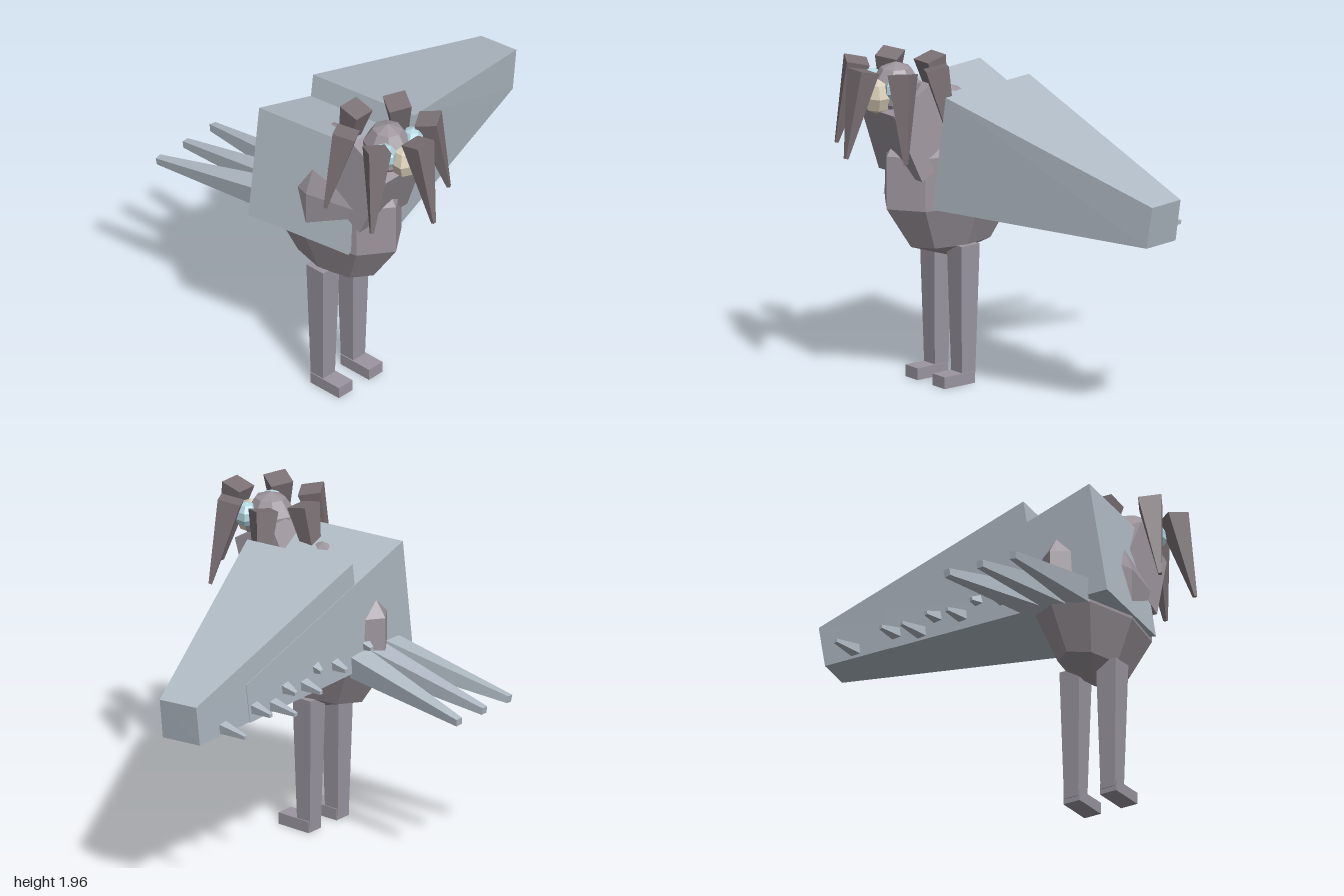
import * as THREE from 'three';

const CZ = 0.66; // z of the body's middle plane

const mat = (color, side = THREE.FrontSide) =>
  new THREE.MeshStandardMaterial({ color, flatShading: true, side });

const bodyMat = mat(0x9c959c);
const legMat = mat(0x9a95a0);
const wingMat = mat(0xb0bac4);
const plumeMat = mat(0x7c7276);
const eyeMat = mat(0xb4d8e2);
const beakMat = mat(0xd8cdb8);

// Four-sided tapered bar between two points, with square ends
function bar(name, from, to, w0, w1, material) {
  const a = new THREE.Vector3(...from), b = new THREE.Vector3(...to);
  const dir = b.clone().sub(a);
  const geo = new THREE.CylinderGeometry(w1 * Math.SQRT1_2, w0 * Math.SQRT1_2, dir.length(), 4);
  geo.rotateY(Math.PI / 4);
  const mesh = new THREE.Mesh(geo, material);
  mesh.name = name;
  mesh.position.copy(a).add(b).multiplyScalar(0.5);
  mesh.quaternion.setFromUnitVectors(new THREE.Vector3(0, 1, 0), dir.normalize());
  return mesh;
}

// Low-poly ellipsoid
function blob(name, pos, radii, w, h, material) {
  const mesh = new THREE.Mesh(new THREE.SphereGeometry(1, w, h), material);
  mesh.name = name;
  mesh.position.set(...pos);
  mesh.scale.set(...radii);
  return mesh;
}

// Closed block between two four-cornered end sections
function loft(name, root, tip, material) {
  const geo = new THREE.BufferGeometry();
  geo.setAttribute('position', new THREE.Float32BufferAttribute([...root, ...tip].flat(), 3));
  const index = [0, 1, 2, 0, 2, 3, 4, 6, 5, 4, 7, 6];
  for (let i = 0; i < 4; i++) {
    const j = (i + 1) % 4;
    index.push(i, i + 4, j, j, i + 4, j + 4);
  }
  geo.setIndex(index);
  const flat = geo.toNonIndexed();
  flat.computeVertexNormals();
  const mesh = new THREE.Mesh(flat, material);
  mesh.name = name;
  return mesh;
}

// Tapered wing with a row of small trailing spikes
function makeWing(name) {
  const wing = new THREE.Group();
  wing.name = name;
  const root = [[0.51, 1.79, 0.33], [-0.19, 1.79, 0.44], [-0.17, 1.1, 0.55], [0.52, 1.1, 0.44]];
  const tip = [[0.05, 1.34, -1], [-0.19, 1.34, -0.96], [-0.185, 1.09, -0.92], [0.06, 1.09, -0.96]];
  wing.add(loft('wingBlade', root, tip, wingMat));
  for (let i = 0; i < 4; i++) {
    const z = -0.72 + i * 0.28, y = 1.13 + i * 0.035;
    wing.add(bar('wingSpike', [-0.15, y + 0.01, z + 0.01], [-0.37 + i * 0.045, y, z - 0.01],
      0.065, 0.022, wingMat));
  }
  return wing;
}

export function createModel() {
  const model = new THREE.Group();
  model.name = 'bird';

  // Body, neck and head
  model.add(blob('body', [0.215, 1.24, CZ], [0.49, 0.51, 0.277], 8, 5, bodyMat));
  model.add(bar('neck', [0.404, 1.366, CZ], [0.615, 1.755, CZ], 0.4, 0.31, bodyMat));
  model.add(blob('head', [0.615, 1.78, CZ], [0.155, 0.175, 0.145], 8, 5, bodyMat));
  model.add(blob('beak', [0.755, 1.77, CZ], [0.09, 0.105, 0.1], 6, 4, beakMat));

  // Crest of six hanging plumes around the head
  for (let i = 0; i < 6; i++) {
    const a = (i * Math.PI) / 3;
    const at = (r, y) => [0.61 + r * Math.cos(a), y, CZ + r * Math.sin(a)];
    model.add(bar('crestPlume', at(0.245, 1.94), at(0.37, 1.435), 0.135, 0.02, plumeMat));
  }

  // Eyes, legs and feet
  for (const s of [-1, 1]) {
    model.add(blob('eye', [0.7, 1.83, CZ + s * 0.115], [0.075, 0.075, 0.07], 6, 5, eyeMat));
    const z = CZ + s * 0.125;
    model.add(bar('leg', [0.218, 0.03, z], [0.218, 0.83, z], 0.097, 0.135, legMat));
    const foot = new THREE.Mesh(new THREE.BoxGeometry(0.225, 0.07, 0.112), legMat);
    foot.name = 'foot';
    foot.position.set(0.287, 0.035, z);
    model.add(foot);
  }

  // Two equal wings, one set further towards the near side
  const farWing = makeWing('farWing');
  const nearWing = makeWing('nearWing');
  nearWing.position.set(0.001, -0.001, 0.45);
  model.add(farWing, nearWing);

  // Three fanned tail feathers
  for (const s of [-1, 0, 1]) {
    model.add(bar('tailFeather', [-0.17, 1.14, CZ + s * 0.14], [-0.995, 1.022, CZ + s * 0.225],
      0.14, 0.043, wingMat));
  }
  return model;
}
